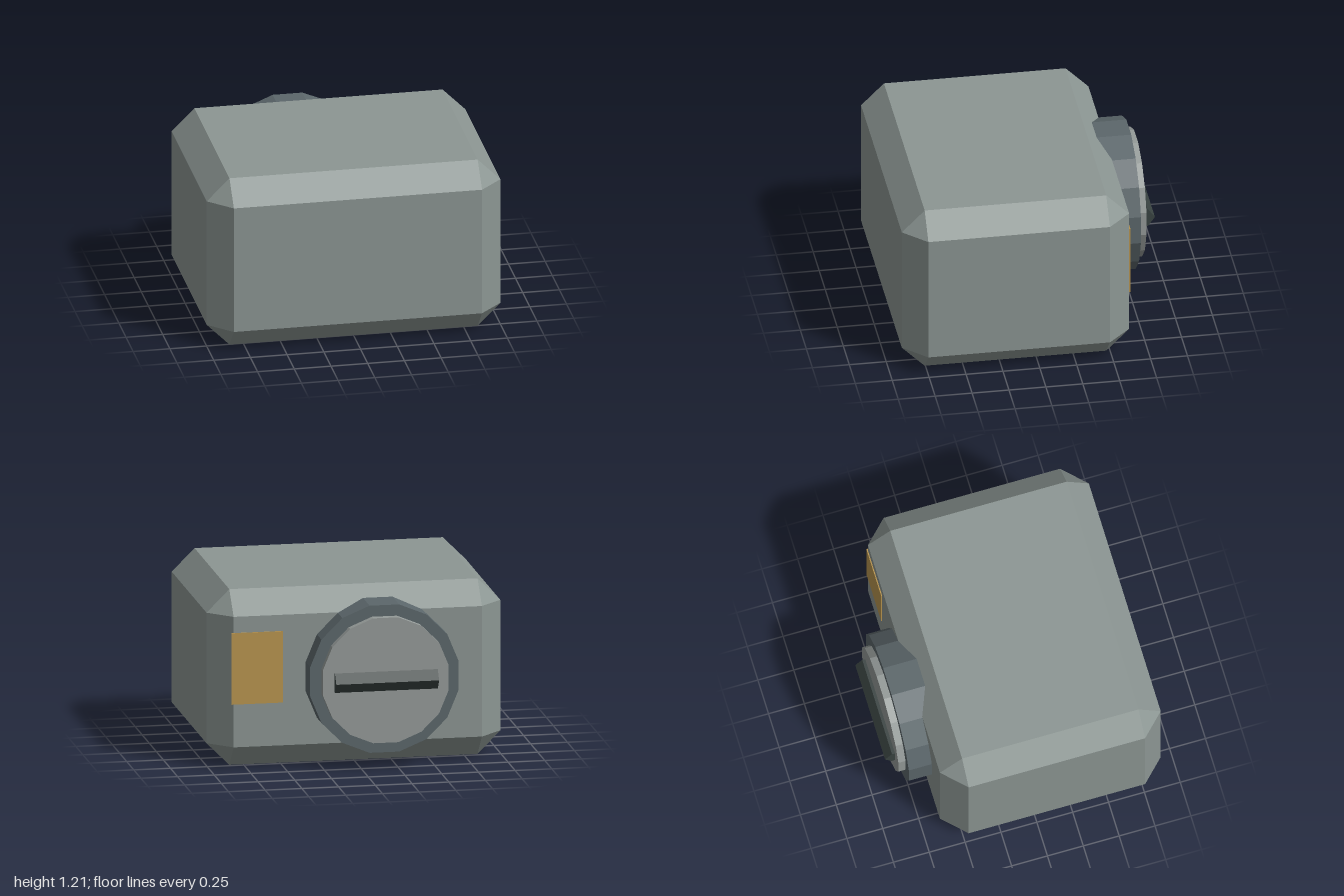
import * as THREE from 'three';
import { ConvexGeometry } from 'three/addons/geometries/ConvexGeometry.js';

const paint = (name, color) => {
  const m = new THREE.MeshStandardMaterial({ color });
  m.name = name;
  return m;
};

// Prism with flat-shaded sides
function prism(radius, length, sides, start) {
  const g = new THREE.CylinderGeometry(radius, radius, length, sides, 1, false, start).toNonIndexed();
  g.computeVertexNormals();
  return g;
}

// Box with every edge and corner cut off
function chamferedBox(w, h, d, c) {
  const points = [];
  for (const x of [-1, 1]) for (const y of [-1, 1]) for (const z of [-1, 1])
    for (const [a, b, e] of [[0, c, c], [c, 0, c], [c, c, 0]])
      points.push(new THREE.Vector3(x * (w / 2 - a), y * (h / 2 - b), z * (d / 2 - e)));
  return new ConvexGeometry(points);
}

export function createModel() {
  const model = new THREE.Group();
  model.name = 'safeBox';
  const bodyGrey = paint('body grey', 0x8c9693);
  const ringGrey = paint('ring slate', 0x5c676b);
  const dialGrey = paint('dial grey', 0x959b99);
  const gripDark = paint('grip dark', 0x3a4442);
  const labelGold = paint('label gold', 0xb9954f);

  const add = (name, geometry, material, x, y, z) => {
    const mesh = new THREE.Mesh(geometry, material);
    mesh.name = name;
    mesh.position.set(x, y, z);
    model.add(mesh);
  };

  // Body
  add('body', chamferedBox(2, 1.206, 1.54, 0.155), bodyGrey, 0, 0.603, 0.14);

  // Round dial on the back: ring, disc and grip bar
  const dialX = -0.15, dialY = 0.62;
  const disc = (radius, depth) => prism(radius, depth, 16, Math.PI / 16).rotateX(Math.PI / 2);
  add('dialRing', disc(0.515, 0.29), ringGrey, dialX, dialY, -0.645);
  add('dialDisc', disc(0.437, 0.14), dialGrey, dialX, dialY, -0.77);
  add('gripBar', prism(0.07, 0.7, 5, Math.PI).rotateZ(Math.PI / 2), gripDark, dialX, dialY, -0.84);

  // Label plate beside the dial
  add('label', new THREE.BoxGeometry(0.35, 0.49, 0.009), labelGold, 0.685, 0.695, -0.6325);

  return model;
}
